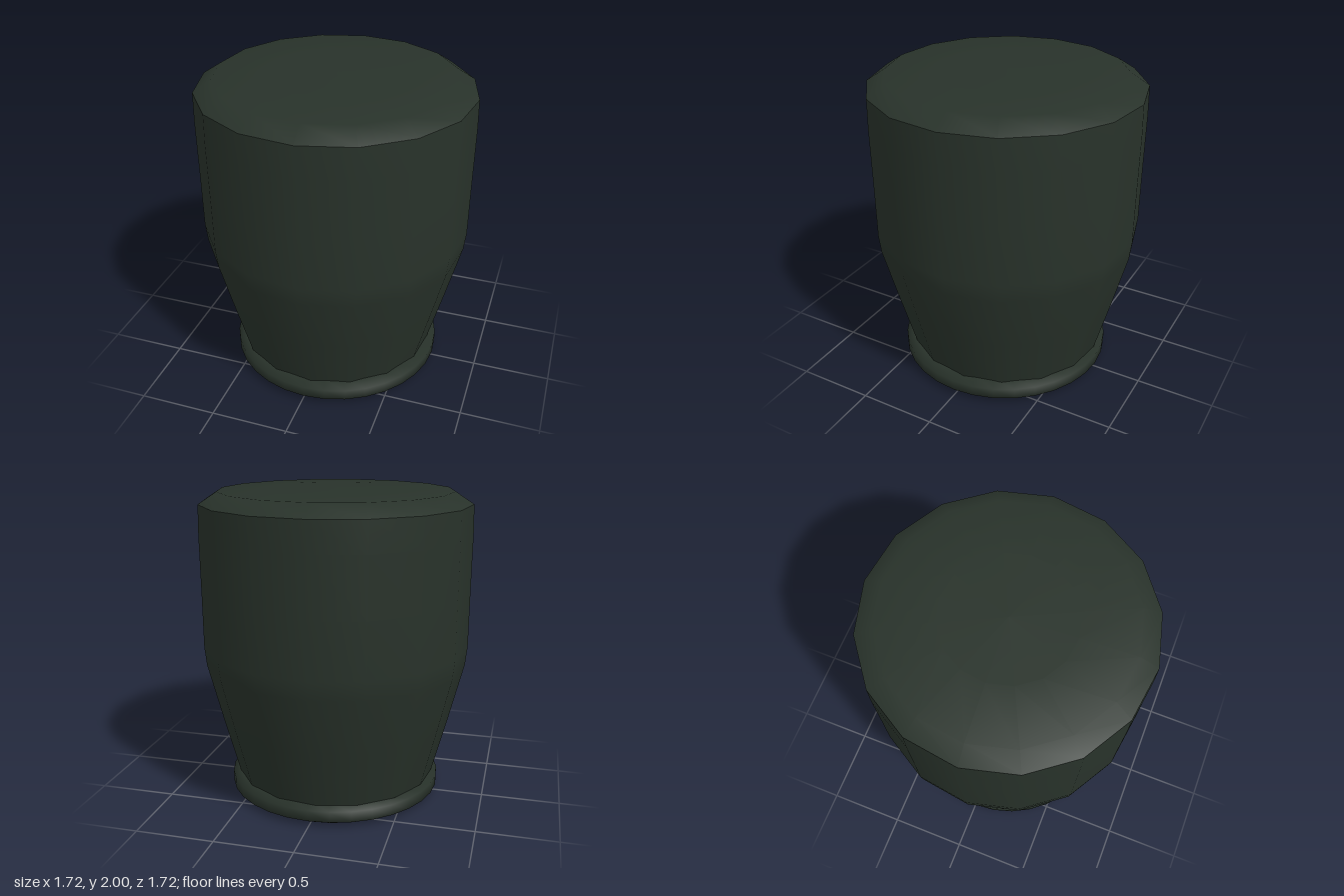
import * as THREE from 'three';

const SIDES = 16;
const TURN = THREE.MathUtils.degToRad(3.4);

export function createModel() {
  const group = new THREE.Group();
  const darkGreen = new THREE.MeshStandardMaterial({ color: 0x28322a });
  darkGreen.name = 'darkGreen';

  // Revolve a list of [radius, height] pairs, listed counterclockwise
  function turned(name, profile, sides = SIDES, turn = TURN) {
    const points = profile.map(([r, y]) => new THREE.Vector2(r, y));
    const mesh = new THREE.Mesh(new THREE.LatheGeometry(points, sides, turn), darkGreen);
    mesh.name = name;
    group.add(mesh);
    return mesh;
  }

  // Tapered lower wall and straight upper wall
  turned('body', [
    [0.655, 0.13], [0.752, 0.5], [0.847, 0.88], [0.86, 1.0],
    [0.861, 1.35], [0.864, 1.72], [0.86, 1.91],
  ]);

  // Shallow domed top with a sharp rim
  turned('top', [[0.86, 1.91], [0.745, 1.985], [0.4, 1.996], [0, 2.0]]);

  // Closed underside, recessed in the foot ring
  turned('underside', [[0, 0.13], [0.655, 0.13]]);

  // Foot ring with a six-sided section
  const ringProfile = [];
  for (let i = 0; i <= 6; i++) {
    const a = Math.PI * (5 / 6 + i / 3);
    ringProfile.push([0.635 + 0.07 * Math.cos(a), 0.07 + 0.07 * Math.sin(a)]);
  }
  turned('footRing', ringProfile, 32, 0).position.set(0.008, 0, 0.008);

  return group;
}
